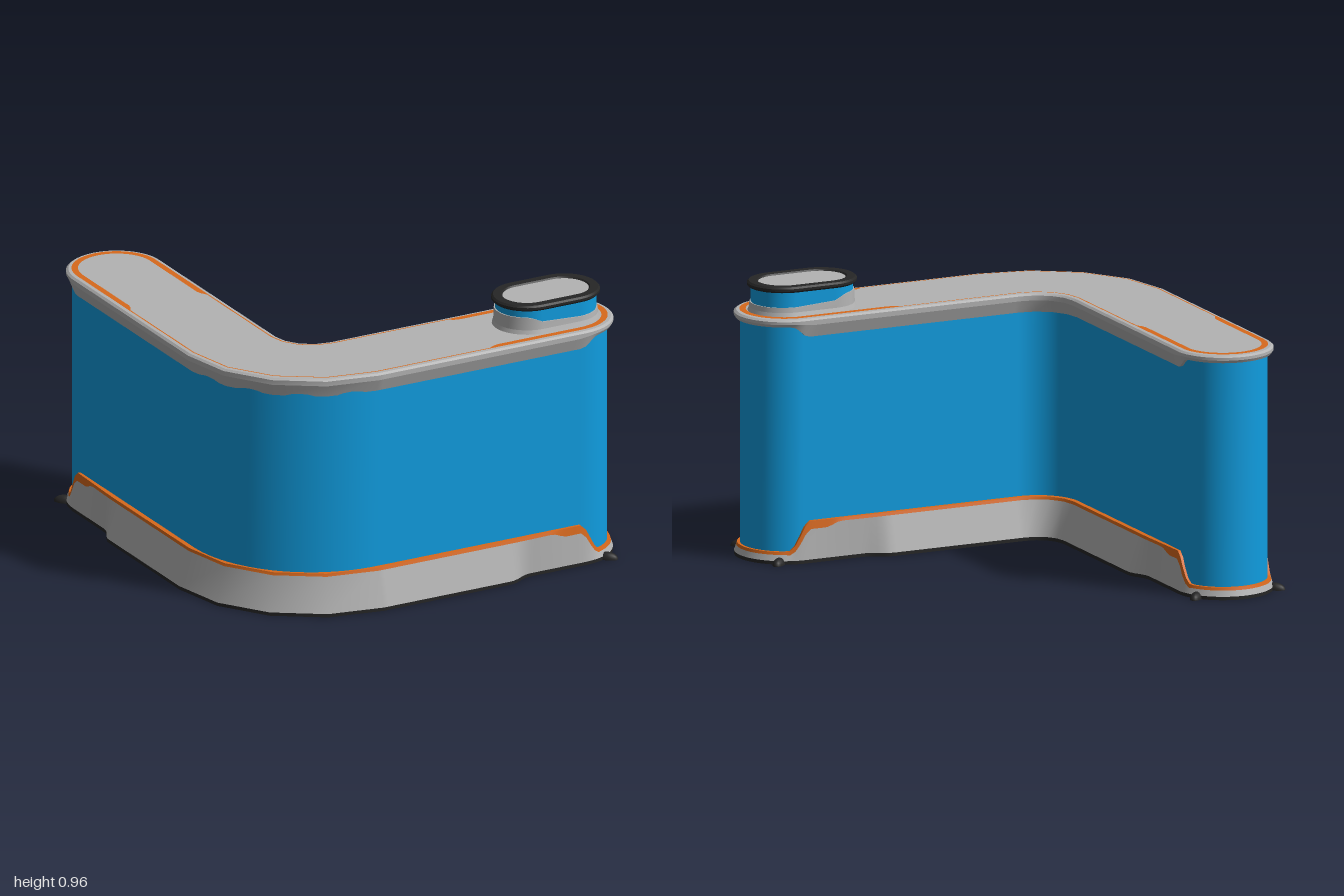
import * as THREE from 'three';

const mat = (name, color) => {
  const m = new THREE.MeshStandardMaterial({ color });
  m.name = name;
  return m;
};
const Q = Math.PI / 4, D = Math.SQRT1_2;

// Bent centreline: two 45 degree arms joined by an arc
const BEND_Z = 0.025, BEND_R = 0.305, END = [0.79, -0.335];
const T0 = BEND_R * D, S0 = (T0 - (BEND_Z + T0)) * D, S1 = (END[0] - END[1]) * D;

// A sample is a point p, its outward direction n and its distance s along the arm
const sample = (x, z, a, s) => ({ x, z, nx: Math.sin(a), nz: Math.cos(a), s });

function capSamples(x, z, from, s, steps, r) {
  const out = [];
  for (let i = 1; i < steps; i++) {
    const f = i / steps;
    out.push(sample(x, z, from + Math.PI * f, s + r * Math.sin(Math.PI * f)));
  }
  return out;
}

// Closed outline around the bent centreline
function bentOutline(arcSteps, armSteps = 40, capSteps = 28) {
  const arm = (side, f) => {
    const t = (S1 - S0) * f * D;
    return sample(side * (T0 + t), BEND_Z + T0 - t, side * Q, S0 + (S1 - S0) * f);
  };
  const outer = [];
  for (let i = armSteps; i > 0; i--) outer.push(arm(-1, i / armSteps));
  for (let i = 0; i <= arcSteps; i++) {
    const a = -Q + (2 * Q * i) / arcSteps;
    outer.push(sample(BEND_R * Math.sin(a), BEND_Z + BEND_R * Math.cos(a), a, S0));
  }
  for (let i = 1; i <= armSteps; i++) outer.push(arm(1, i / armSteps));
  const inner = outer.map((p) => ({ ...p, nx: -p.nx, nz: -p.nz })).reverse();
  return [
    ...outer, ...capSamples(END[0], END[1], Q, S1, capSteps, 0.15),
    ...inner, ...capSamples(-END[0], END[1], 3 * Q, S1, capSteps, 0.15),
  ];
}

// Closed stadium outline along the left arm
function stadiumOutline(x, z, half) {
  const out = [];
  for (const k of [1, -1]) {
    for (let i = 0; i <= 20; i++) {
      const a = (k > 0 ? Q : 5 * Q) + (Math.PI * i) / 20;
      const s = k * (half + 0.11 * Math.sin((Math.PI * i) / 20));
      out.push(sample(x + k * half * D, z - k * half * D, a, s));
    }
  }
  return out;
}

const value = (v, s) => (typeof v === 'function' ? v(s) : v);

// Walls through a profile of [offset, height]; edges between bands stay sharp
function walls(outline, profile) {
  const pos = [], idx = [], n = outline.length;
  for (let k = 0; k + 1 < profile.length; k++) {
    const base = pos.length / 3;
    for (const [h, y] of [profile[k], profile[k + 1]]) {
      for (const p of outline) {
        const o = value(h, p.s);
        pos.push(p.x + p.nx * o, value(y, p.s), p.z + p.nz * o);
      }
    }
    for (let i = 0; i < n; i++) {
      const a = base + i, b = base + ((i + 1) % n);
      idx.push(a, b, b + n, a, b + n, a + n);
    }
  }
  const g = new THREE.BufferGeometry();
  g.setAttribute('position', new THREE.Float32BufferAttribute(pos, 3));
  g.setIndex(idx);
  g.computeVertexNormals();
  return g;
}

// Flat lid (up) or floor (down) filling an outline
function fill(outline, h, y, up = true) {
  const pts = outline.map((p) => {
    const o = value(h, p.s);
    return new THREE.Vector2(p.x + p.nx * o, (up ? -1 : 1) * (p.z + p.nz * o));
  });
  return new THREE.ShapeGeometry(new THREE.Shape(pts)).rotateX(up ? -Math.PI / 2 : Math.PI / 2).translate(0, y, 0);
}

// Smooth change from a to b while s runs from s0 to s1
const ramp = (a, b, s0, s1) => (s) => a + (b - a) * THREE.MathUtils.smoothstep(s, s0, s1);
const plus = (f, d) => (s) => f(s) + d;

export function createModel() {
  const blue = mat('blue', 0x109de0), grey = mat('light grey', 0xb3b3b3);
  const orange = mat('orange', 0xd8691c), black = mat('black', 0x262626);
  const model = new THREE.Group();
  model.name = 'cornerBarrier';
  const add = (name, geometry, material, parent = model) => {
    const m = new THREE.Mesh(geometry, material);
    m.name = name;
    parent.add(m);
    return m;
  };

  const smooth = bentOutline(24), coarse = bentOutline(4);

  // Main wall
  add('wall', walls(smooth, [[0.152, 0.02], [0.152, 0.835]]), blue);

  // Skirt: wide and tall along the arms, slim and low around the ends
  const foot = ramp(0.207, 0.172, 0.48, 0.57);
  const skirtTop = ramp(0.145, 0.042, 0.775, 0.85);
  const shoulder = ramp(0.172, 0.165, 0.5, 0.8);
  const orangeDepth = ramp(0.01, 0.028, 0.66, 0.72);
  const tail = ramp(0, 0.018, 0.8, 0.86);
  const bandLow = (s) => skirtTop(s) - orangeDepth(s) + tail(s);
  add('sole', walls(coarse, [[foot, 0], [foot, 0.012]]), black);
  add('soleBottom', fill(coarse, foot, 0, false), black);
  add('skirt', walls(coarse, [[foot, 0.012], [shoulder, bandLow]]), grey);
  add('skirtTrim', walls(coarse, [
    [shoulder, bandLow], [plus(shoulder, -0.003), skirtTop], [0.14, skirtTop],
  ]), orange);

  // Lid
  const lidLow = ramp(0.79, 0.83, 0.78, 0.84);
  const lidFoot = ramp(0.158, 0.167, 0.76, 0.84);
  const lidMid = ramp(0.833, 0.84, 0.76, 0.84);
  add('lid', walls(coarse, [
    [0.14, lidLow], [lidFoot, lidLow], [0.173, lidMid], [0.173, 0.85], [0.165, 0.856],
  ]), grey);
  add('lidTop', fill(coarse, 0.165, 0.856), grey);
  add('lidTrim', walls(coarse, [[0.154, 0.858], [ramp(0.149, 0.132, 0.43, 0.46), 0.858]]), orange);

  // Pod on the left arm: collar, blue band, rim and top plate
  const pod = new THREE.Group();
  pod.name = 'pod';
  model.add(pod);
  const stadium = stadiumOutline(0.742, -0.292, 0.073);
  const collarTop = ramp(0.915, 0.887, -0.13, -0.04);
  add('collar', walls(stadium, [[0.122, 0.85], [0.115, 0.87], [0.113, collarTop], [0.1, collarTop]]), grey, pod);
  add('podBand', walls(stadium, [[0.109, 0.86], [0.109, 0.945]]), blue, pod);
  add('podRim', walls(stadium, [
    [0.1, 0.94], [0.116, 0.94], [0.122, 0.946], [0.122, 0.954], [0.116, 0.96], [0.088, 0.96], [0.082, 0.953],
  ]), black, pod);
  add('podTop', fill(stadium, 0.086, 0.955), grey, pod);

  // Anchor lugs at both ends
  black.side = THREE.DoubleSide;
  for (const side of [-1, 1]) {
    for (const [x, z, turn] of [[0.96, -0.29, 0], [0.752, -0.5, Math.PI / 2]]) {
      const lug = add('anchorLug', new THREE.SphereGeometry(1, 14, 6, 0, Math.PI * 2, 0, Math.PI / 2), black);
      lug.scale.set(0.04, 0.024, 0.02);
      lug.rotation.y = turn;
      lug.position.set(side * x, 0, z);
    }
  }
  return model;
}
